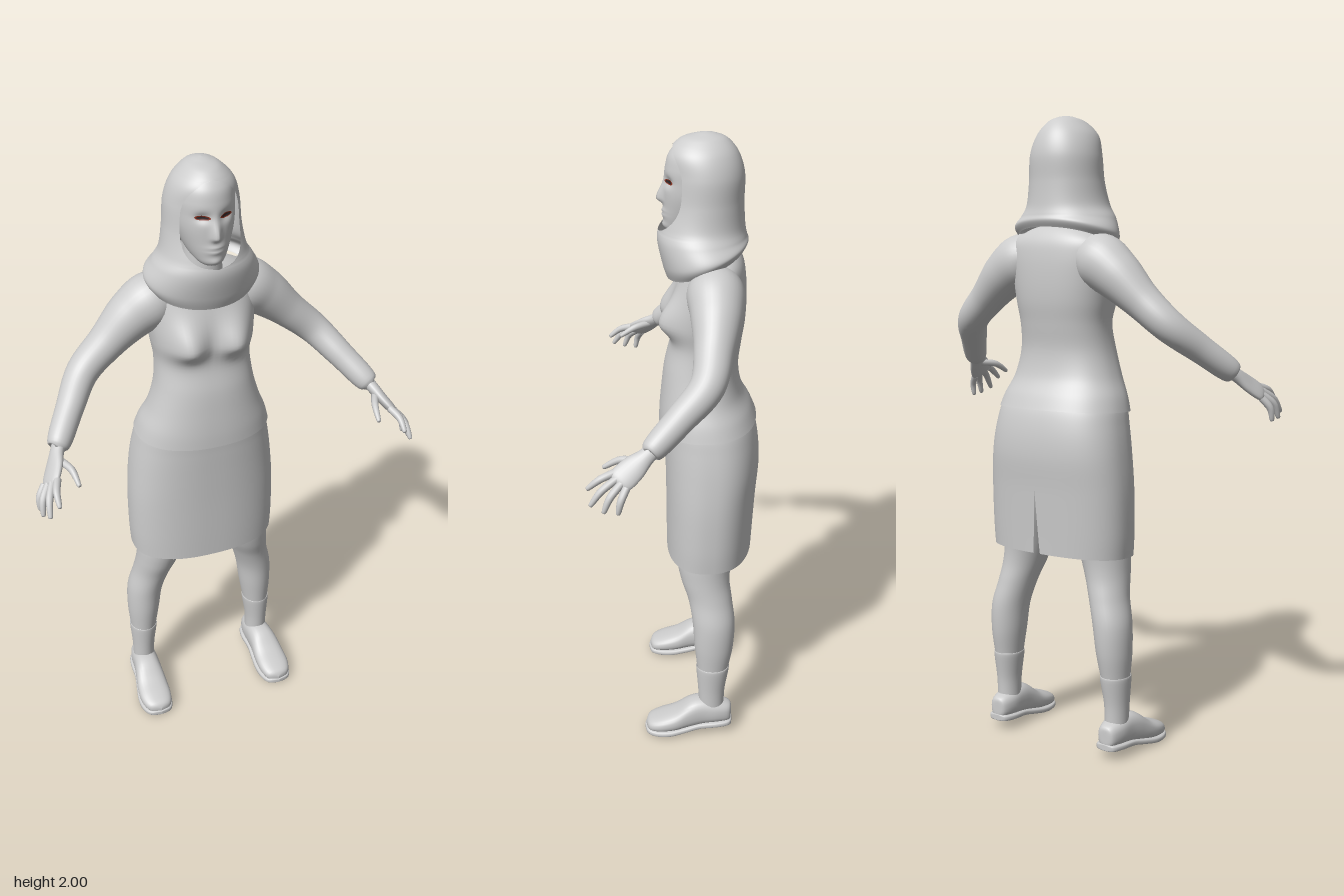
import * as THREE from 'three';

const grey = new THREE.MeshStandardMaterial({ color: 0xcccccc, side: THREE.DoubleSide });
grey.name = 'plain grey';
const red = new THREE.MeshStandardMaterial({ color: 0x8f3422, side: THREE.DoubleSide });
red.name = 'eyelid red';
const dark = new THREE.MeshStandardMaterial({ color: 0x33292a, side: THREE.DoubleSide });
dark.name = 'eye dark';

// Smooth interpolation through rows of numbers, t from 0 to 1
function sample(rows, t) {
  const n = rows.length - 1, f = Math.min(Math.max(t, 0), 1) * n;
  const i = Math.min(Math.floor(f), n - 1), u = f - i;
  const [a, b, c, d] = [-1, 0, 1, 2].map(k => rows[Math.min(Math.max(i + k, 0), n)]);
  return b.map((q, k) => q + 0.5 * u * (c[k] - a[k] +
    u * (2 * a[k] - 5 * q + 4 * c[k] - d[k] + u * (3 * (q - c[k]) + d[k] - a[k]))));
}

// Grid surface from point(u, v); closed grids join the last column to the first
function grid(nu, nv, point, closed = true) {
  const cols = closed ? nu : nu + 1, pos = [], idx = [];
  for (let j = 0; j <= nv; j++)
    for (let i = 0; i < cols; i++) pos.push(...point(i / nu, j / nv));
  for (let j = 0; j < nv; j++)
    for (let i = 0; i < nu; i++) {
      const a = j * cols + i, b = j * cols + (i + 1) % cols;
      idx.push(a, b, b + cols, a, b + cols, a + cols);
    }
  const g = new THREE.BufferGeometry();
  g.setAttribute('position', new THREE.Float32BufferAttribute(pos, 3));
  g.setIndex(idx);
  g.computeVertexNormals();
  if (!closed) { // smooth the seam where the two edges meet
    const P = g.attributes.position, N = g.attributes.normal;
    const p = new THREE.Vector3(), q = new THREE.Vector3();
    for (let j = 0; j <= nv; j++) {
      const a = j * cols, b = a + nu;
      if (p.fromBufferAttribute(P, a).distanceTo(q.fromBufferAttribute(P, b)) > 1e-5) continue;
      p.fromBufferAttribute(N, a).add(q.fromBufferAttribute(N, b)).normalize();
      N.setXYZ(a, p.x, p.y, p.z);
      N.setXYZ(b, p.x, p.y, p.z);
    }
  }
  return g;
}

const TAU = Math.PI * 2;
const pow = (v, p) => Math.sign(v) * Math.abs(v) ** p;
const bump = (d, s) => Math.exp(-((d / s) ** 2));

// Upright rings: [y, centre x, half width, z front, z back, tilt]; angle 0 is the front
const rings = (rows, p = 1) => (th, t) => {
  const [y, cx, rx, zf, zb, tilt] = sample(rows, t);
  const c = Math.cos(th);
  return [cx + Math.max(rx, 0) * pow(Math.sin(th), p), y + tilt * c, (zf + zb) / 2 + (zf - zb) / 2 * pow(c, p)];
};

// Limb through rows [x, y, z, side radius, thickness radius], flat across the ref direction
function limb(rows, ref, nu = 20, nv = 28) {
  const at = t => new THREE.Vector3(...sample(rows, t).slice(0, 3));
  return grid(nu, nv, (u, v) => {
    const T = at(v + 0.02).sub(at(v - 0.02)).normalize();
    const side = new THREE.Vector3().crossVectors(ref, T).normalize();
    const up = new THREE.Vector3().crossVectors(T, side);
    const r = sample(rows, v);
    return at(v).addScaledVector(side, Math.max(r[3], 0) * Math.cos(u * TAU))
      .addScaledVector(up, Math.max(r[4], 0) * Math.sin(u * TAU)).toArray();
  });
}

// Lengthwise shoe sections: [z, centre x, half width, y bottom, y top]
const shoePart = (rows, p) => grid(28, 36, (u, v) => {
  const [z, cx, w, yb, yt] = sample(rows, v);
  return [cx + Math.max(w, 0) * pow(Math.cos(u * TAU), p), (yb + yt) / 2 + (yt - yb) / 2 * pow(Math.sin(u * TAU), p), z];
});

export function createModel() {
  const model = new THREE.Group();
  const add = (name, geo, mat = grey, parent = model) => {
    const m = new THREE.Mesh(geo, mat);
    m.name = name;
    parent.add(m);
    return m;
  };

  // Jacket body with bust
  const body = rings([
    [1.095, 0, 0.222, 0.068, -0.243, -0.008], [1.14, 0, 0.208, 0.066, -0.225, -0.004], [1.2, 0, 0.182, 0.06, -0.195, 0],
    [1.28, 0, 0.16, 0.05, -0.182, 0], [1.36, 0, 0.153, 0.032, -0.19, 0], [1.43, 0, 0.163, 0.03, -0.2, 0],
    [1.5, 0, 0.172, 0.02, -0.203, 0], [1.57, 0, 0.178, 0.0, -0.2, 0], [1.62, 0, 0.165, -0.02, -0.19, 0],
    [1.655, 0, 0.1, -0.04, -0.165, 0], [1.67, 0, 0.04, -0.06, -0.13, 0]], 0.88);
  add('jacket', grid(72, 60, (u, v) => {
    const [x, y, z] = body(u * TAU, v);
    const b = z > -0.06 ? bump(Math.abs(x) - 0.08, 0.055) * bump(y - 1.435, y > 1.435 ? 0.075 : 0.042) : 0;
    return [x, y, z + 0.045 * b];
  }));

  // Skirt with a narrow slit at the back
  const skirt = rings([
    [0.64, 0, 0.246, 0.044, -0.236, -0.008], [0.72, 0, 0.25, 0.045, -0.24, -0.006], [0.85, 0, 0.249, 0.046, -0.247, 0],
    [0.96, 0, 0.24, 0.048, -0.255, 0], [1.05, 0, 0.226, 0.05, -0.247, 0], [1.12, 0, 0.208, 0.05, -0.224, 0],
    [1.16, 0, 0.17, 0.03, -0.18, 0]], 0.84);
  add('skirt', grid(80, 40, (u, v) => {
    const gap = 0.03 * Math.max(0, 1 - v / 0.34);
    return skirt(Math.PI + gap + u * (TAU - 2 * gap), v);
  }, false));

  // Head with modelled face
  const headRing = rings([
    [1.7, 0, 0.02, 0.02, -0.03, 0], [1.715, 0, 0.04, 0.045, -0.06, 0], [1.74, 0, 0.06, 0.05, -0.12, 0],
    [1.78, 0, 0.077, 0.05, -0.15, 0], [1.82, 0, 0.087, 0.05, -0.16, 0], [1.86, 0, 0.09, 0.048, -0.165, 0],
    [1.9, 0, 0.09, 0.045, -0.165, 0], [1.94, 0, 0.08, 0.033, -0.15, 0], [1.97, 0, 0.05, 0, -0.12, 0],
    [1.98, 0, 0, -0.06, -0.06, 0]]);
  const head = (th, t) => {
    const [x, y, z] = headRing(th, t);
    if (Math.cos(th) < 0) return [x, y, z];
    const ax = Math.abs(x);
    return [x, y, z
      + 0.022 * bump(x, 0.013) * bump(y - 1.803, y > 1.803 ? 0.04 : 0.012)   // nose
      - 0.011 * bump(ax - 0.036, 0.02) * bump(y - 1.86, 0.015)               // eye sockets
      + 0.008 * bump(x, 0.026) * bump(y - 1.762, 0.013)                      // lips
      - 0.006 * bump(x, 0.024) * bump(y - 1.762, 0.004)
      + 0.005 * bump(x, 0.02) * bump(y - 1.725, 0.012)];                     // chin
  };
  add('head', grid(88, 80, (u, v) => head(u * TAU, v)));
  add('neck', new THREE.CylinderGeometry(0.055, 0.065, 0.16, 28).translate(0, 1.68, -0.07));

  // Eyes laid on the face
  const eye = (s, w, h, lift) => grid(24, 4, (u, v) => {
    const [x, y, z] = head(s * (0.42 + w * v * Math.cos(u * TAU)), 5 / 9 + h * v * Math.sin(u * TAU));
    return [x, y, z + lift];
  });
  for (const s of [1, -1]) {
    add('eyelid', eye(s, 0.26, 0.02, 0.002), red);
    add('eye', eye(s, 0.2, 0.012, 0.0035), dark);
  }

  // Headscarf with face opening and a hem that dips at the front
  const scarf = rings([
    [1.615, 0, 0.165, 0.042, -0.195, -0.046], [1.645, 0, 0.18, 0.055, -0.205, -0.036], [1.69, 0, 0.156, 0.07, -0.2, -0.008],
    [1.73, 0, 0.132, 0.062, -0.194, 0], [1.8, 0, 0.119, 0.042, -0.19, 0], [1.88, 0, 0.112, 0.036, -0.19, 0],
    [1.94, 0, 0.092, 0.036, -0.172, 0], [1.98, 0, 0.055, 0.002, -0.14, 0], [1.995, 0, 0.025, -0.045, -0.105, 0],
    [2, 0, 0, -0.075, -0.075, 0]]);
  add('headscarf', grid(72, 110, (u, v) => {
    const e = (scarf(Math.PI / 2, v)[1] - 1.837) / 0.125;
    const open = 0.9 * Math.sqrt(Math.max(0, 1 - Math.abs(e) ** 3));
    return scarf(open + u * (TAU - 2 * open), v);
  }, false));

  // One side's arm, hand, leg and shoe, then mirrored
  for (const s of [1, -1]) {
    const side = new THREE.Group();
    side.name = s > 0 ? 'leftLimbs' : 'rightLimbs';
    side.scale.x = s;
    model.add(side);

    add('sleeve', limb([
      [0.06, 1.575, -0.1, 0.04, 0.05], [0.14, 1.56, -0.105, 0.085, 0.085], [0.215, 1.515, -0.108, 0.077, 0.078],
      [0.3, 1.44, -0.1, 0.058, 0.06], [0.385, 1.365, -0.08, 0.05, 0.052], [0.45, 1.295, -0.005, 0.043, 0.044],
      [0.512, 1.225, 0.075, 0.035, 0.034], [0.514, 1.223, 0.077, 0, 0]], new THREE.Vector3(0, 0, 1), 32, 56), grey, side);

    const palmRef = new THREE.Vector3(0.05, -0.06, 0.09).cross(new THREE.Vector3(0.04, -0.05, -0.09)).normalize();
    add('palm', limb([
      [0.505, 1.232, 0.066, 0.024, 0.02], [0.522, 1.212, 0.092, 0.026, 0.019], [0.54, 1.187, 0.125, 0.037, 0.017],
      [0.562, 1.16, 0.16, 0.038, 0.014], [0.57, 1.15, 0.172, 0.02, 0.006], [0.572, 1.148, 0.175, 0, 0]], palmRef), grey, side);
    const fingers = {
      indexFinger: [[0.546, 1.175, 0.178], [0.56, 1.16, 0.22], [0.562, 1.132, 0.255]],
      middleFinger: [[0.56, 1.163, 0.172], [0.582, 1.135, 0.215], [0.59, 1.095, 0.245]],
      ringFinger: [[0.57, 1.152, 0.16], [0.596, 1.122, 0.19], [0.603, 1.08, 0.208]],
      littleFinger: [[0.578, 1.143, 0.145], [0.6, 1.112, 0.16], [0.603, 1.075, 0.168]],
      thumb: [[0.522, 1.197, 0.115], [0.498, 1.19, 0.165], [0.49, 1.163, 0.212]],
    };
    for (const [name, [a, b, c]] of Object.entries(fingers)) {
      const tip = c.map((q, k) => q + (c[k] - b[k]) * 0.06);
      add(name, limb([[...a, 0.012, 0.012], [...b, 0.011, 0.011], [...c, 0.007, 0.007], [...tip, 0, 0]], palmRef, 12, 16), grey, side);
    }

    // Leg, with a sock edge above the ankle
    const leg = rings([
      [0.1, 0.22, 0.034, -0.07, -0.147, 0], [0.17, 0.22, 0.036, -0.066, -0.15, 0], [0.25, 0.217, 0.044, -0.06, -0.162, 0],
      [0.34, 0.213, 0.055, -0.05, -0.178, 0], [0.43, 0.205, 0.06, -0.043, -0.182, 0], [0.51, 0.184, 0.062, -0.028, -0.172, 0],
      [0.58, 0.166, 0.07, -0.004, -0.163, 0], [0.66, 0.15, 0.08, 0.012, -0.168, 0], [0.8, 0.125, 0.092, 0.02, -0.19, 0],
      [1, 0.11, 0.095, 0.02, -0.2, 0]]);
    add('leg', grid(32, 56, (u, v) => leg(u * TAU, v)), grey, side);
    const sock = rings([
      [0.1, 0.22, 0.037, -0.067, -0.15, 0], [0.17, 0.22, 0.039, -0.063, -0.153, 0], [0.255, 0.217, 0.048, -0.056, -0.166, 0],
      [0.258, 0.217, 0.042, -0.06, -0.16, 0]]);
    add('sock', grid(32, 18, (u, v) => sock(u * TAU, v)), grey, side);

    add('shoe', shoePart([
      [-0.176, 0.22, 0, 0.06, 0.09], [-0.17, 0.22, 0.028, 0.04, 0.108], [-0.13, 0.22, 0.042, 0.036, 0.122],
      [-0.08, 0.222, 0.045, 0.03, 0.132], [-0.035, 0.226, 0.049, 0.022, 0.122], [0.015, 0.229, 0.055, 0.015, 0.086],
      [0.065, 0.23, 0.054, 0.012, 0.066], [0.102, 0.229, 0.038, 0.012, 0.05], [0.114, 0.228, 0, 0.02, 0.032]], 0.8), grey, side);
    add('sole', shoePart([
      [-0.178, 0.22, 0, 0.034, 0.05], [-0.172, 0.22, 0.033, 0.03, 0.052], [-0.13, 0.22, 0.046, 0.027, 0.05],
      [-0.07, 0.223, 0.046, 0.022, 0.044], [-0.02, 0.226, 0.053, 0.012, 0.034], [0.03, 0.229, 0.059, 0.002, 0.026],
      [0.075, 0.23, 0.055, 0.0, 0.023], [0.108, 0.229, 0.038, 0.003, 0.023], [0.118, 0.228, 0, 0.008, 0.02]], 0.55), grey, side);
  }
  return model;
}
